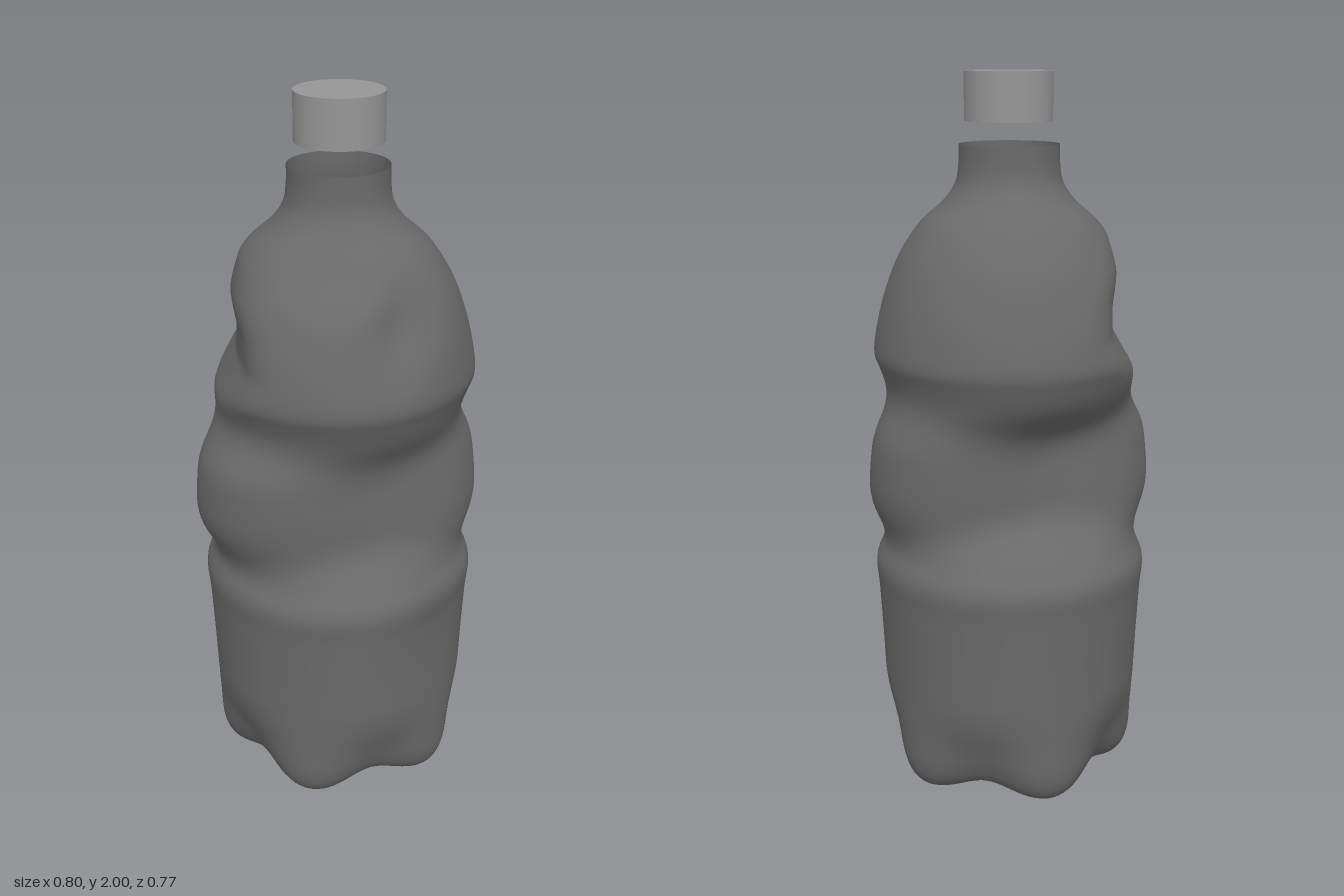
import * as THREE from 'three';

const SEGMENTS = 120, ROWS = 150;
const smooth = THREE.MathUtils.smoothstep;
const rad = THREE.MathUtils.degToRad;

// Linear lookup in a short table of [y, value]
function lookup(table, y) {
  const i = Math.max(1, table.findIndex(([key]) => y <= key));
  const [y0, v0] = table[i - 1], [y1, v1] = table[i];
  return v0 + (v1 - v0) * (y - y0) / (y1 - y0);
}

function softMin(a, b, k) {
  const h = Math.max(k - Math.abs(a - b), 0) / k;
  return Math.min(a, b) - h * h * k / 4;
}

// Undeformed bottle outline [radius, y], from the base centre to the mouth
const OUTLINE = [
  [0.001, 0.035], [0.1, 0.032], [0.2, 0.012], [0.27, 0.002], [0.325, 0.02], [0.355, 0.08], [0.362, 0.2],
  [0.37, 0.4], [0.378, 0.56], [0.383, 0.65], [0.352, 0.72], [0.335, 0.79], [0.335, 0.9], [0.33, 1.0],
  [0.327, 1.08], [0.342, 1.15], [0.363, 1.21], [0.376, 1.25], [0.367, 1.32], [0.344, 1.41], [0.305, 1.51],
  [0.246, 1.6], [0.18, 1.66], [0.146, 1.71], [0.137, 1.76], [0.136, 1.81],
].map(([r, y]) => new THREE.Vector2(r, y));

// How far the pressed-in right shoulder may reach out at each height
const FLAT_LIMIT = [[1.06, 0.46], [1.13, 0.37], [1.2, 0.35], [1.25, 0.318], [1.32, 0.278], [1.4, 0.276],
  [1.48, 0.291], [1.55, 0.283], [1.64, 0.32]];

// Soft hollows: direction, height, depth, angular spread, vertical spread, slant
const HOLLOWS = [
  { angle: rad(95), y: 1.59, depth: 0.03, spread: 0.5, height: 0.07, slant: 0.8 },
  { angle: rad(62), y: 1.45, depth: 0.038, spread: 0.3, height: 0.11, slant: 0.8 },
  { angle: rad(43), y: 1.27, depth: 0.012, spread: 0.4, height: 0.12, slant: 0 },
  { angle: rad(45), y: 0.52, depth: 0.018, spread: 0.4, height: 0.22, slant: 0 },
];

function deform(r, y, angle) {
  // Five feet with scooped valleys between them
  const valley = 0.5 + 0.5 * Math.cos(5 * (angle - rad(1)));
  const outer = smooth(r, 0.08, 0.28);
  const lift = valley * outer * 0.035 * (1 - smooth(y, 0.05, 0.25));
  r -= valley * outer * 0.048 * (1 - smooth(y, 0.03, 0.32));

  // Two-lobed waist, slightly twisted
  const waist = Math.exp(-Math.pow((y - 0.93) / 0.175, 4));
  const twist = rad(-18 + (0.9 - y) * 35);
  r += waist * (0.073 * Math.cos(2 * (angle - twist)) + 0.025 * Math.sin(angle));

  for (const h of HOLLOWS) {
    const away = Math.atan2(Math.sin(angle - h.angle), Math.cos(angle - h.angle));
    const across = (away + h.slant * (y - h.y)) / h.spread;
    r -= h.depth * Math.exp(-across * across - Math.pow((y - h.y) / h.height, 2));
  }

  let x = r * Math.cos(angle);
  const z = r * Math.sin(angle);
  if (y > FLAT_LIMIT[0][0] && y < FLAT_LIMIT.at(-1)[0]) {
    x = -softMin(-x, lookup(FLAT_LIMIT, y) - 0.5 * z * z, 0.045);
  }
  // The shoulder and neck lean slightly forward
  return [x, y + lift, z + 0.006 * smooth(y, 1.1, 1.3)];
}

function bottleGeometry() {
  const rows = new THREE.SplineCurve(OUTLINE).getSpacedPoints(ROWS);
  const position = [], index = [];
  rows.forEach((p, i) => {
    for (let j = 0; j < SEGMENTS; j++) {
      position.push(...deform(p.x, Math.max(p.y, 0), j / SEGMENTS * Math.PI * 2));
      if (i === ROWS) continue;
      const a = i * SEGMENTS + j, b = i * SEGMENTS + (j + 1) % SEGMENTS;
      index.push(a, a + SEGMENTS, b, b, a + SEGMENTS, b + SEGMENTS);
    }
  });
  const geometry = new THREE.BufferGeometry();
  geometry.setAttribute('position', new THREE.Float32BufferAttribute(position, 3));
  geometry.setIndex(index);
  geometry.computeVertexNormals();
  return geometry;
}

export function createModel() {
  const group = new THREE.Group();
  const bottleMaterial = new THREE.MeshStandardMaterial({ color: 0x6a6a6a, side: THREE.DoubleSide });
  const capMaterial = new THREE.MeshStandardMaterial({ color: 0x969696, side: THREE.DoubleSide });

  // Crumpled bottle, open at the mouth
  const bottle = new THREE.Mesh(bottleGeometry(), bottleMaterial);
  bottle.name = 'bottle';
  group.add(bottle);

  // Hollow screw cap hovering above the mouth
  const cap = new THREE.Group();
  cap.name = 'cap';
  const wall = new THREE.Mesh(new THREE.CylinderGeometry(0.119, 0.119, 0.13, 48, 1, true), capMaterial);
  wall.name = 'capWall';
  wall.position.y = 1.935;
  const lid = new THREE.Mesh(new THREE.CircleGeometry(0.119, 48), capMaterial);
  lid.name = 'capTop';
  lid.rotation.x = -Math.PI / 2;
  lid.position.y = 2;
  cap.add(wall, lid);
  cap.position.set(0.002, 0, 0.006);
  group.add(cap);

  return group;
}
